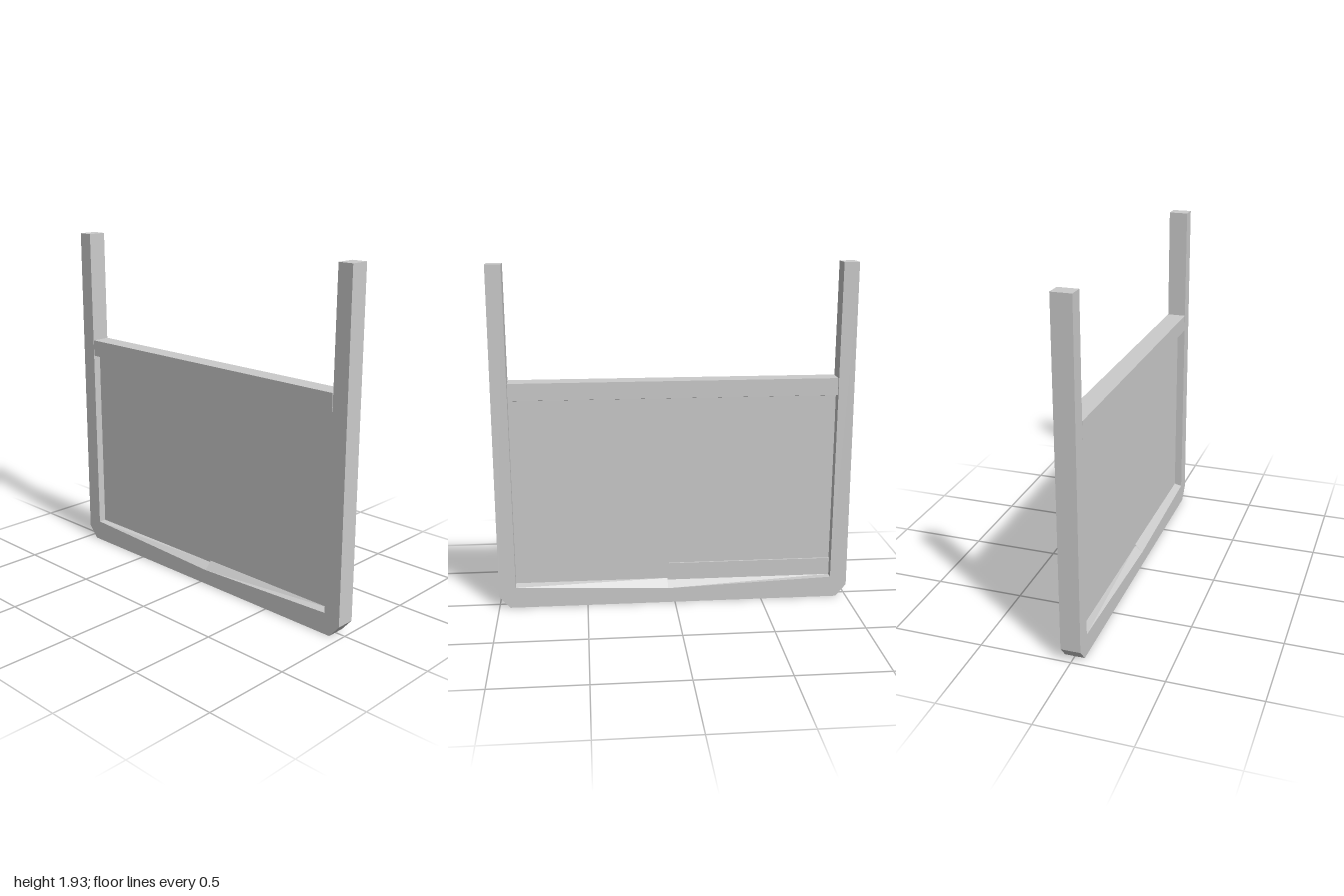
import * as THREE from 'three';

const material = new THREE.MeshStandardMaterial({ color: 0xcccccc, flatShading: true, side: THREE.DoubleSide });
const HALF = 0.054; // half depth of the frame

function part(name, geometry) {
  const mesh = new THREE.Mesh(geometry, material);
  mesh.name = name;
  return mesh;
}

// Outline extruded along z between z0 and z1
function slab(points, z0, z1) {
  const shape = new THREE.Shape(points.map(([x, y]) => new THREE.Vector2(x, y)));
  const geometry = new THREE.ExtrudeGeometry(shape, { depth: z1 - z0, bevelEnabled: false });
  return geometry.translate(0, 0, z0);
}

// Sloping ledge that rises from both frame edges to the foot of the panel
function ledge(x0, base0, x1, base1, ridge) {
  const section = (x, base) => [
    [x, base, HALF], [x, ridge, 0.01], [x, ridge, -0.01], [x, base, -HALF],
  ];
  const a = section(x0, base0), b = section(x1, base1);
  const positions = [];
  for (let i = 0; i < 3; i++) {
    positions.push(...a[i], ...b[i], ...b[i + 1], ...a[i], ...b[i + 1], ...a[i + 1]);
  }
  const geometry = new THREE.BufferGeometry();
  geometry.setAttribute('position', new THREE.Float32BufferAttribute(positions, 3));
  geometry.computeVertexNormals();
  return geometry;
}

export function createModel() {
  const model = new THREE.Group();
  model.name = 'panelFrame';

  // U-shaped frame with chamfered feet and a shallow V along its inner bottom
  model.add(part('frame', slab([
    [-1, 1.93], [-1, 0.07], [-0.94, 0], [0.94, 0], [1, 0.07], [1, 1.93],
    [0.915, 1.93], [0.905, 0.12], [0.04, 0.085], [-0.905, 0.12], [-0.915, 1.93],
  ], -HALF, HALF)));

  // Cross rail with a slightly sloping underside
  const rail = slab([
    [-HALF, 1.2], [-0.01, 1.19], [0.01, 1.19], [HALF, 1.2], [HALF, 1.295], [-HALF, 1.295],
  ], -0.908, 0.908);
  model.add(part('crossRail', rail.rotateY(Math.PI / 2)));

  // Ledges along the bottom of the opening
  model.add(part('rightLedge', ledge(-0.905, 0.12, 0.04, 0.085, 0.12)));
  model.add(part('leftLedge', ledge(0.04, 0.085, 0.905, 0.12, 0.13)));

  // Flat front sheet, and a back layer leaving one half recessed
  model.add(part('frontPanel', slab([
    [-0.91, 0.11], [0.91, 0.11], [0.91, 1.2], [-0.91, 1.2],
  ], 0, 0.01)));
  model.add(part('backPanel', slab([
    [-0.91, 0.11], [0.91, 0.11], [0.91, 1.2], [0, 1.2], [0.03, 0.22], [-0.91, 0.22],
  ], -0.01, 0)));

  return model;
}
